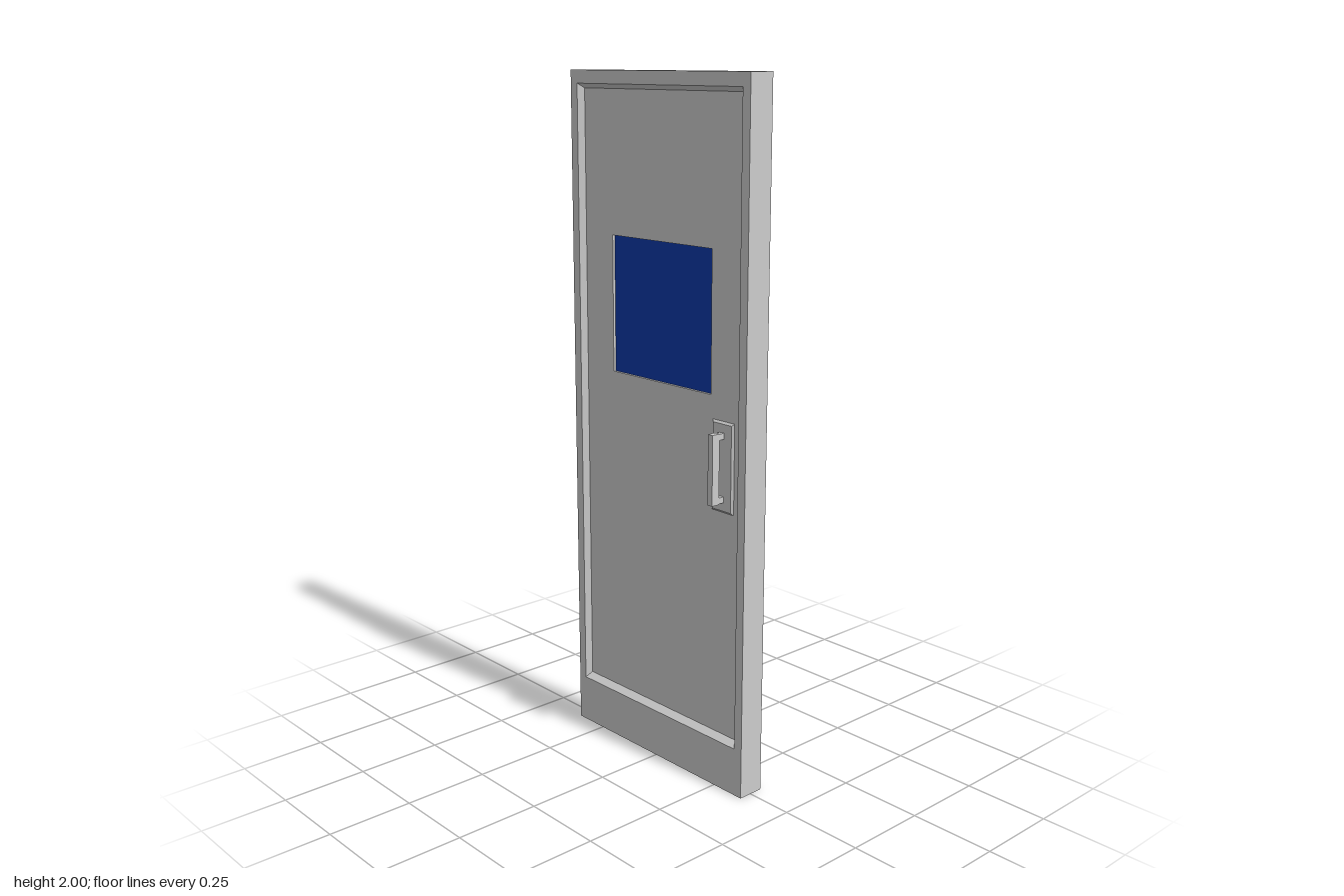
import * as THREE from 'three';

const grey = new THREE.MeshStandardMaterial({ color: 0xcccccc, side: THREE.DoubleSide });
const blue = new THREE.MeshStandardMaterial({ color: 0x0c38a8, side: THREE.DoubleSide });

function add(parent, name, geometry, material = grey) {
  const mesh = new THREE.Mesh(geometry, material);
  mesh.name = name;
  parent.add(mesh);
  return mesh;
}

// Joins nested rectangles [x0, x1, y0, y1, z], outermost first, with flat quads facing +z
function loftRects(rects, capped = false) {
  const corners = ([x0, x1, y0, y1, z]) => [[x0, y0, z], [x1, y0, z], [x1, y1, z], [x0, y1, z]];
  const positions = [];
  const quad = (a, b, c, d) => positions.push(...a, ...b, ...c, ...a, ...c, ...d);
  for (let i = 0; i < rects.length - 1; i++) {
    const outer = corners(rects[i]), inner = corners(rects[i + 1]);
    for (let k = 0; k < 4; k++) {
      const n = (k + 1) % 4;
      quad(outer[k], outer[n], inner[n], inner[k]);
    }
  }
  if (capped) quad(...corners(rects[rects.length - 1]));
  const geometry = new THREE.BufferGeometry();
  geometry.setAttribute('position', new THREE.Float32BufferAttribute(positions, 3));
  geometry.computeVertexNormals();
  return geometry;
}

const W = 0.359, H = 2, D = 0.04, FACE = 0.02, GLASS = 0.012;

// One face of the door; handleX is the handle position on that face
function createSide(name, handleX) {
  const side = new THREE.Group();
  side.name = name;

  // Border, sloped rebate, recessed panel and window reveal
  add(side, 'doorFace', loftRects([
    [-W, W, 0, H, D],
    [-0.331, 0.331, 0.143, 1.963, D],
    [-0.322, 0.322, 0.158, 1.95, FACE],
    [-0.204, 0.204, 1.146, 1.543, FACE],
    [-0.204, 0.204, 1.146, 1.543, GLASS],
  ]));

  const pane = add(side, 'windowPane', new THREE.PlaneGeometry(0.408, 0.397), blue);
  pane.position.set(0, 1.3445, GLASS);

  // Bevelled backing plate
  add(side, 'handlePlate', loftRects([
    [handleX - 0.042, handleX + 0.042, 0.822, 1.08, FACE],
    [handleX - 0.036, handleX + 0.036, 0.828, 1.074, FACE + 0.006],
  ], true));

  // Pull handle: upright grip with a post at each end
  const grip = add(side, 'handleGrip', new THREE.BoxGeometry(0.018, 0.2, 0.026));
  grip.position.set(handleX, 0.951, 0.057);
  for (const s of [-1, 1]) {
    const post = add(side, 'handlePost', new THREE.BoxGeometry(0.016, 0.017, 0.028));
    post.position.set(handleX, 0.951 + s * 0.09, 0.033);
  }
  return side;
}

export function createModel() {
  const door = new THREE.Group();
  door.name = 'door';

  // Both faces carry the handle on the same edge of the door
  door.add(createSide('frontSide', 0.255));
  const back = createSide('backSide', -0.255);
  back.rotation.y = Math.PI;
  door.add(back);

  // Edges of the hollow shell, open underneath
  for (const s of [-1, 1]) {
    const edge = add(door, 'sideEdge', new THREE.PlaneGeometry(2 * D, H));
    edge.rotation.y = s * Math.PI / 2;
    edge.position.set(s * W, H / 2, 0);
  }
  const top = add(door, 'topEdge', new THREE.PlaneGeometry(2 * W, 2 * D));
  top.rotation.x = -Math.PI / 2;
  top.position.y = H;

  return door;
}
